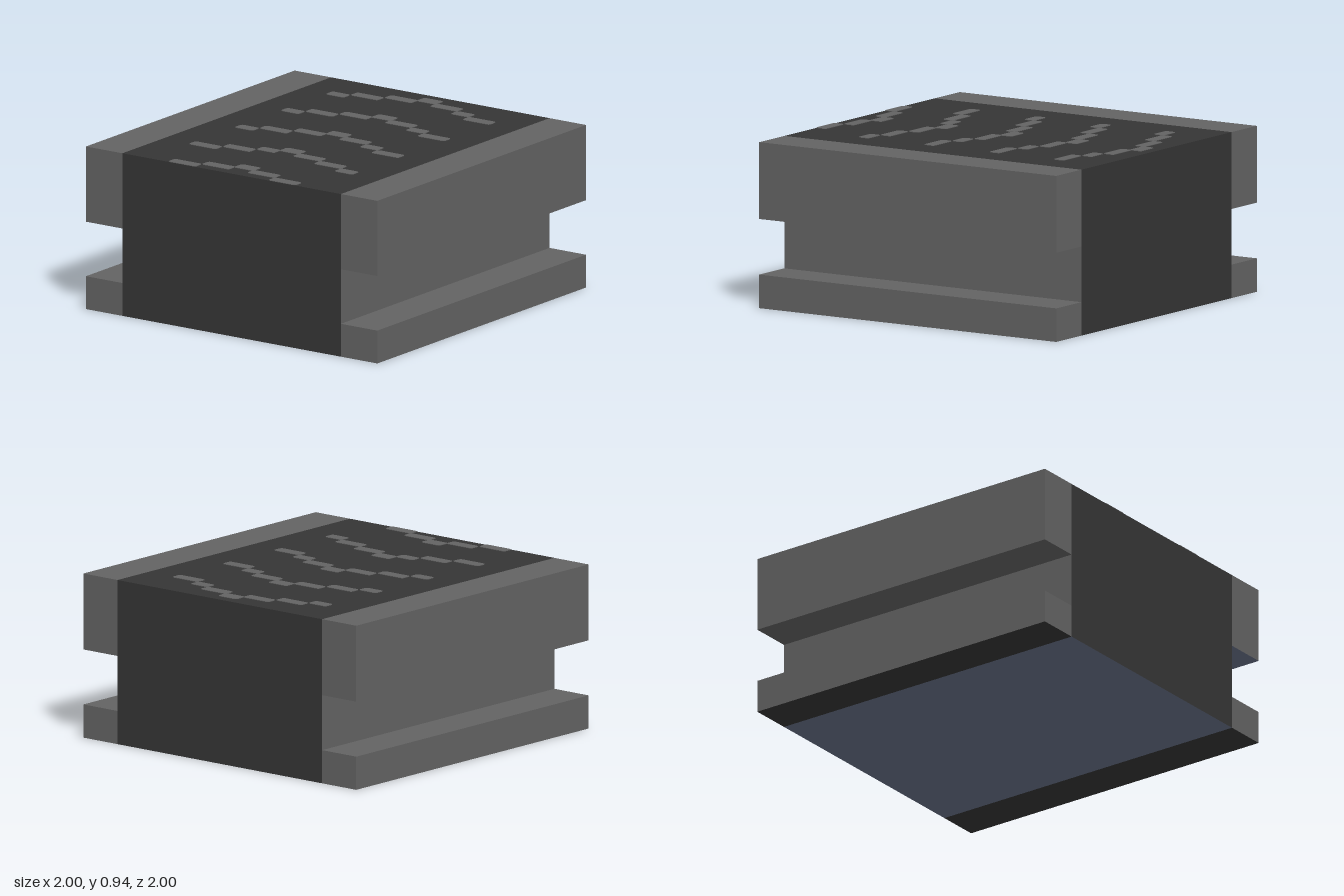
import * as THREE from 'three';

const rail = new THREE.MeshStandardMaterial({ color: 0x636363 });
rail.name = 'rail grey';
const belt = new THREE.MeshStandardMaterial({ color: 0x353535 });
belt.name = 'belt charcoal';
const slate = new THREE.MeshStandardMaterial({ color: 0x666f86 });
slate.name = 'underside slate';

const TOP = 0.94;

// Box between two heights; materials ordered +x, -x, +y, -y, +z, -z
function slab(name, y0, y1, z0, z1, materials) {
  const mesh = new THREE.Mesh(new THREE.BoxGeometry(2, y1 - y0, z1 - z0), materials);
  mesh.position.set(0, (y0 + y1) / 2, (z0 + z1) / 2);
  mesh.name = name;
  return mesh;
}

// Thin plate with softened corners lying on the belt, clipped at the belt's end
function plate(x0, x1, z0, z1) {
  x0 = Math.max(x0, -1);
  const r = 0.018;
  const s = new THREE.Shape();
  s.moveTo(x0 + r, -z1);
  s.lineTo(x1 - r, -z1);
  s.quadraticCurveTo(x1, -z1, x1, -z1 + r);
  s.lineTo(x1, -z0 - r);
  s.quadraticCurveTo(x1, -z0, x1 - r, -z0);
  s.lineTo(x0 + r, -z0);
  s.quadraticCurveTo(x0, -z0, x0, -z0 - r);
  s.lineTo(x0, -z1 + r);
  s.quadraticCurveTo(x0, -z1, x0 + r, -z1);
  const g = new THREE.ExtrudeGeometry(s, { depth: 0.003, bevelEnabled: false, curveSegments: 3 });
  g.rotateX(-Math.PI / 2);
  const mesh = new THREE.Mesh(g, rail);
  mesh.position.y = TOP;
  mesh.name = 'chevronStep';
  return mesh;
}

// Stepped arrow pointing to +x; far and near list the z limits of each step
function chevron(x, far, near) {
  const group = new THREE.Group();
  group.name = 'chevron';
  const w = 0.0625;
  group.add(plate(x + 3 * w - 0.01, x + 4 * w + 0.007, -0.0675, 0.0675));
  for (let i = 0; i < 3; i++) {
    const x0 = x + (2 - i) * w;
    const x1 = x0 + w + 0.007;
    if (x1 <= -0.98) continue;
    group.add(plate(x0, x1, -far[i + 1], -far[i]));
    group.add(plate(x0, x1, near[i], near[i + 1]));
  }
  return group;
}

export function createModel() {
  const model = new THREE.Group();
  model.name = 'conveyorBlock';

  // Belt core, with grey groove walls
  model.add(slab('beltCore', 0, TOP, -0.75, 0.75, [belt, belt, belt, slate, rail, rail]));

  // Upper and lower rails along both sides
  for (const [side, z0, z1] of [['front', 0.75, 1], ['back', -1, -0.75]]) {
    const under = side === 'front' ? slate : rail;
    model.add(slab(side + 'LowerRail', 0, 0.19, z0, z1, [rail, rail, rail, belt, rail, rail]));
    model.add(slab(side + 'UpperRail', 0.505, TOP, z0, z1, [rail, rail, rail, under, rail, rail]));
  }

  // Direction chevrons
  const short = [0.0625, 0.25, 0.375, 0.5625];
  const long = [0.0625, 0.25, 0.4375, 0.5625];
  const tall = [0.0625, 0.1875, 0.375, 0.5625];
  model.add(chevron(-1.065, long, long));
  model.add(chevron(-0.63, tall, long));
  for (const x of [-0.19, 0.25, 0.683]) model.add(chevron(x, long, short));

  return model;
}
